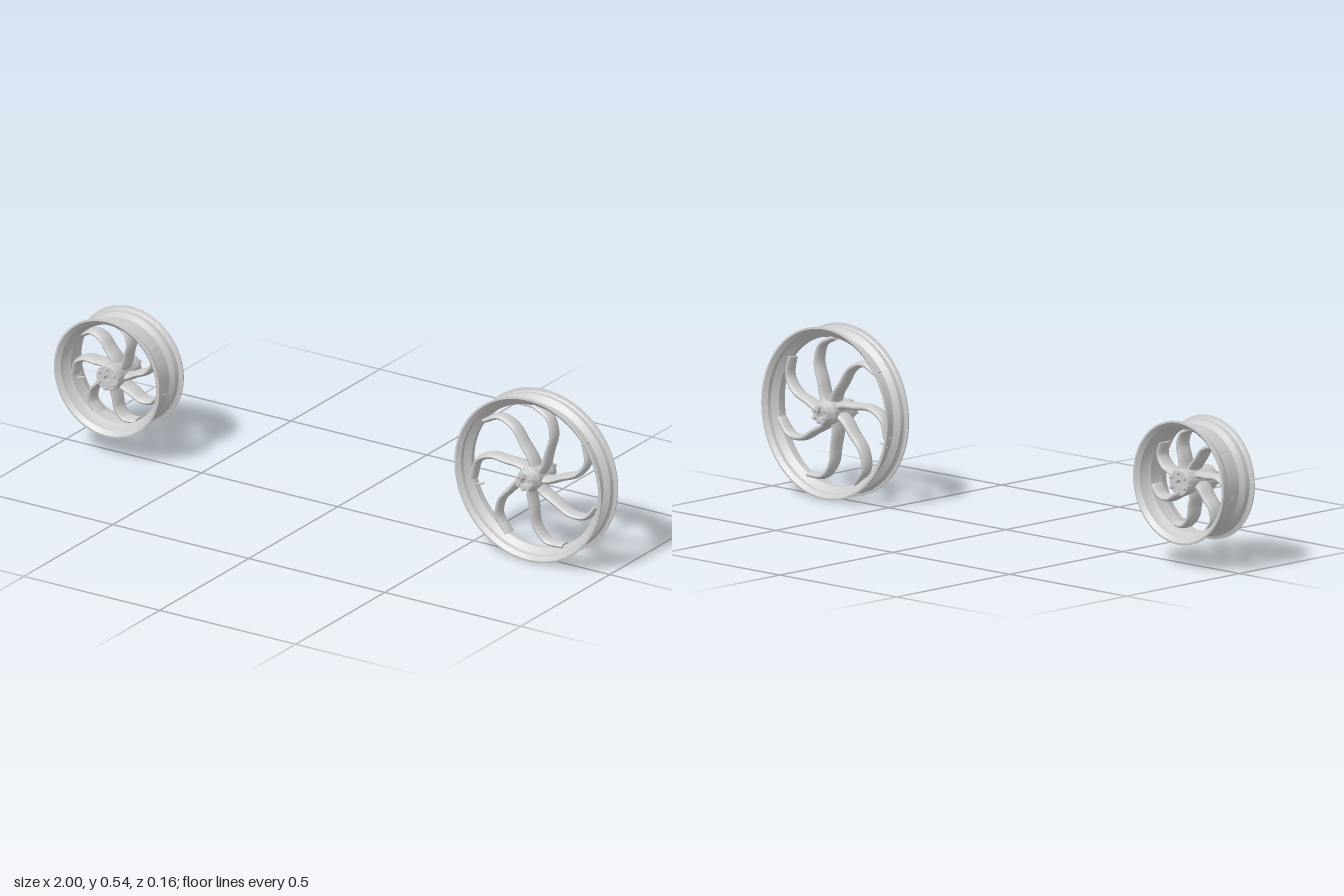
import * as THREE from 'three';
import { toCreasedNormals } from 'three/addons/utils/BufferGeometryUtils.js';

const metal = new THREE.MeshStandardMaterial({ color: 0xcccccc });
metal.name = 'light grey metal';

function part(name, geometry, parent) {
  const mesh = new THREE.Mesh(geometry, metal);
  mesh.name = name;
  parent.add(mesh);
  return mesh;
}

// Closed ring turned about z; points are [radius, z], anticlockwise in (radius, z)
function turned(points, segments) {
  const loop = [...points, points[0]].map(([r, z]) => new THREE.Vector2(r, z));
  const g = new THREE.LatheGeometry(loop, segments).rotateX(Math.PI / 2);
  return toCreasedNormals(g, 0.5);
}

// Mirrors the half profile (z from middle to edge) to both sides
function bothSides(outer, inner) {
  const flip = (list) => list.map(([r, z]) => [r, -z]).reverse();
  return [...flip(outer), ...outer, ...[...inner].reverse(), ...inner.map(([r, z]) => [r, -z])];
}

// Curved blade with an oval section; widths and depths taper towards the rim
function spokeGeometry({ reach, root, width, depth }) {
  const shape = [[0, -52], [0.14, -42], [0.36, -31], [0.65, -26], [0.88, -16], [1, -1]];
  const curve = new THREE.CatmullRomCurve3(shape.map(([k, deg]) => {
    const r = root + (reach - root) * k;
    const a = THREE.MathUtils.degToRad(deg);
    return new THREE.Vector3(r * Math.cos(a), r * Math.sin(a), 0);
  }));
  const g = new THREE.CylinderGeometry(1, 1, 1, 14, 28);
  const p = g.attributes.position;
  for (let i = 0; i < p.count; i++) {
    const t = THREE.MathUtils.clamp(p.getY(i) + 0.5, 0, 1);
    const c = curve.getPoint(t);
    const d = curve.getTangent(t);
    const w = p.getX(i) * THREE.MathUtils.lerp(width[0], width[1], t);
    const z = p.getZ(i) * THREE.MathUtils.lerp(depth[0], depth[1], t);
    p.setXYZ(i, c.x + d.y * w, c.y - d.x * w, z);
  }
  g.computeVertexNormals();
  return g;
}

function makeWheel(name, spec) {
  const wheel = new THREE.Group();
  wheel.name = name;

  part('rim', turned(bothSides(spec.rimOuter, spec.rimInner), 96), wheel);
  part('hub', turned(bothSides(spec.hubOuter, spec.hubInner), 40), wheel);

  // Seven swept spokes
  const blade = spokeGeometry(spec.spoke);
  for (let i = 0; i < 7; i++) {
    part('spoke', blade, wheel).rotation.z = THREE.MathUtils.degToRad(92) + i * Math.PI * 2 / 7;
  }

  // Bolt ring on both hub faces
  const bolt = toCreasedNormals(new THREE.CylinderGeometry(0.0055, 0.0055, 0.014, 8).rotateX(Math.PI / 2), 0.9);
  for (const side of [-1, 1]) {
    for (let i = 0; i < 6; i++) {
      const a = i * Math.PI / 3 + 0.5;
      part('hubBolt', bolt, wheel).position.set(
        Math.cos(a) * spec.boltRing, Math.sin(a) * spec.boltRing, side * 0.0715);
    }
  }

  // Valve stem pointing inwards from the rim
  const a = THREE.MathUtils.degToRad(200);
  const stem = part('valveStem', new THREE.CylinderGeometry(0.003, 0.004, 0.036, 10), wheel);
  const r = spec.spoke.reach - 0.012;
  stem.position.set(Math.cos(a) * r, Math.sin(a) * r, 0);
  stem.rotation.z = a + Math.PI / 2;
  return wheel;
}

export function createModel() {
  const model = new THREE.Group();
  model.name = 'wheelPair';

  // Tall narrow wheel
  const front = makeWheel('frontWheel', {
    rimOuter: [[0.24, 0.01], [0.257, 0.024], [0.258, 0.038], [0.262, 0.042], [0.27, 0.044], [0.27, 0.048]],
    rimInner: [[0.233, 0.008], [0.25, 0.026], [0.252, 0.038], [0.264, 0.049]],
    hubOuter: [[0.036, 0.01], [0.04, 0.04], [0.034, 0.05], [0.032, 0.06], [0.029, 0.068]],
    hubInner: [[0.014, 0.02], [0.014, 0.068]],
    spoke: { reach: 0.235, root: 0.03, width: [0.013, 0.009], depth: [0.03, 0.02] },
    boltRing: 0.0225,
  });
  front.position.set(0.73, 0.271, 0);

  // Small wide wheel
  const rear = makeWheel('rearWheel', {
    rimOuter: [[0.169, 0.026], [0.18, 0.042], [0.181, 0.059], [0.186, 0.063], [0.194, 0.065], [0.194, 0.069]],
    rimInner: [[0.161, 0.024], [0.173, 0.044], [0.175, 0.058], [0.188, 0.07]],
    hubOuter: [[0.036, 0.01], [0.042, 0.045], [0.042, 0.06], [0.039, 0.067]],
    hubInner: [[0.01, 0.02], [0.01, 0.067]],
    spoke: { reach: 0.163, root: 0.03, width: [0.012, 0.009], depth: [0.034, 0.025] },
    boltRing: 0.031,
  });
  rear.position.set(-0.806, 0.268, -0.001);

  model.add(front, rear);
  return model;
}
